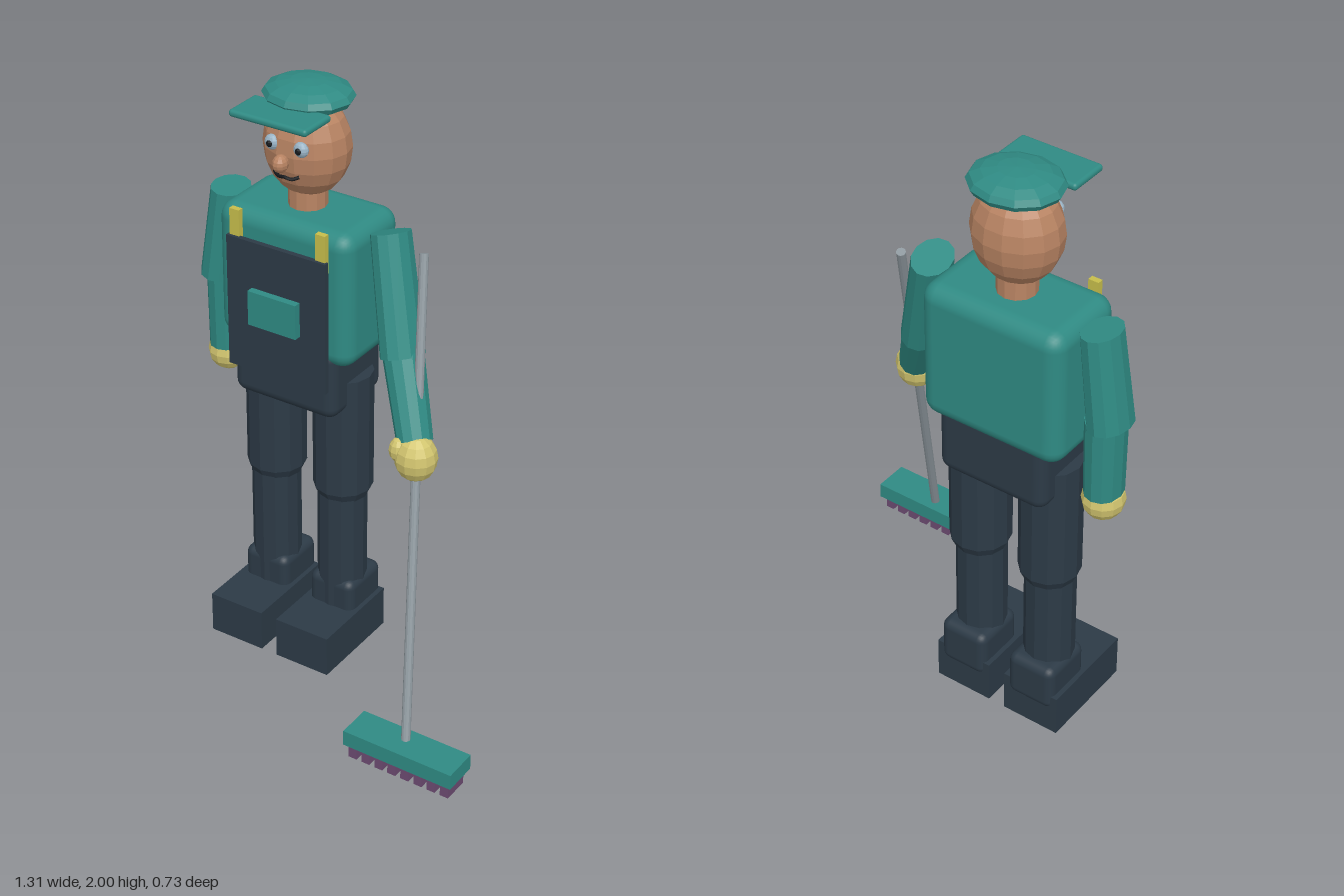
import * as THREE from 'three';
import { RoundedBoxGeometry } from 'three/addons/geometries/RoundedBoxGeometry.js';

const paint = (name, color) => {
  const m = new THREE.MeshStandardMaterial({ color });
  m.name = name;
  return m;
};

export function createModel() {
  const model = new THREE.Group();
  model.name = 'sweepingWorker';
  const teal = paint('teal', 0x2f8a83);
  const navy = paint('navy', 0x2c3a46);
  const skin = paint('skin', 0xb98463);
  const glove = paint('gloveYellow', 0xd2c56f);
  const strapYellow = paint('strapYellow', 0xc6bd4b);
  const steel = paint('steel', 0x8d979d);
  const bristle = paint('bristlePurple', 0x6b4a70);
  const eyeBlue = paint('eyeBlue', 0x9ab4c6);
  const black = paint('black', 0x15181c);

  const CX = -0.255, CZ = -0.213; // body axis

  const add = (name, geometry, material, x = 0, y = 0, z = 0) => {
    const mesh = new THREE.Mesh(geometry, material);
    mesh.name = name;
    mesh.position.set(x, y, z);
    model.add(mesh);
    return mesh;
  };
  // Faceted normals
  const flat = (geometry) => {
    const g = geometry.index ? geometry.toNonIndexed() : geometry;
    g.computeVertexNormals();
    return g;
  };
  // Boxes given by their limits on each axis
  const box = (name, material, [x0, x1], [y0, y1], [z0, z1], round = 0) => {
    const s = [x1 - x0, y1 - y0, z1 - z0];
    const g = round ? new RoundedBoxGeometry(...s, 3, round) : new THREE.BoxGeometry(...s);
    return add(name, g, material, (x0 + x1) / 2, (y0 + y1) / 2, (z0 + z1) / 2);
  };
  const ball = (name, material, [x, y, z], [rx, ry, rz], sides = 12, rings = 8) =>
    add(name, flat(new THREE.SphereGeometry(1, sides, rings).scale(rx, ry, rz)), material, x, y, z);
  // Oval tapered limb between two points
  const limb = (name, material, from, to, rTop, rBottom, depth = 1, sides = 12) => {
    const a = new THREE.Vector3(...from), b = new THREE.Vector3(...to);
    const dir = a.clone().sub(b);
    const g = new THREE.CylinderGeometry(rTop, rBottom, dir.length(), sides).scale(1, 1, depth);
    const mesh = add(name, flat(g), material);
    mesh.position.copy(a).add(b).multiplyScalar(0.5);
    mesh.quaternion.setFromUnitVectors(new THREE.Vector3(0, 1, 0), dir.normalize());
    return mesh;
  };

  // Torso and overalls
  box('torso', teal, [-0.505, -0.005], [1.115, 1.585], [-0.365, -0.06], 0.055);
  box('overallsHips', navy, [-0.45, -0.06], [0.92, 1.17], [-0.352, -0.058], 0.04);
  box('bib', navy, [-0.44, -0.07], [1.04, 1.5], [-0.048, -0.03]);
  box('bibPocket', teal, [-0.345, -0.165], [1.22, 1.34], [-0.03, -0.005]);
  for (const s of [-1, 1]) {
    const x = CX + s * 0.16;
    box('shoulderStrap', strapYellow, [x - 0.018, x + 0.018], [1.2, 1.59], [-0.06, -0.04]);
  }

  // Legs and boots
  for (const s of [-1, 1]) {
    const x = CX + s * 0.132;
    const thigh = [[0, 0.568], [0.085, 0.568], [0.1, 0.6], [0.1, 1.03], [0, 1.03]]
      .map(([r, y]) => new THREE.Vector2(r, y));
    add('thigh', flat(new THREE.LatheGeometry(thigh, 12)), navy, x, 0, CZ);
    limb('shin', navy, [x, 0.6, -0.208], [x, 0.12, -0.208], 0.083, 0.083);
    box('ankle', navy, [x - 0.086, x + 0.086], [0.09, 0.255], [-0.32, -0.13], 0.03);
    box('boot', navy, [x - 0.102, x + 0.102], [0, 0.147], [-0.31, 0.04]);
  }

  // Head and face
  limb('neck', skin, [CX, 1.68, CZ], [CX, 1.56, CZ], 0.063, 0.063);
  ball('head', skin, [CX, 1.79, CZ], [0.145, 0.168, 0.127], 14, 10);
  ball('nose', skin, [CX, 1.777, -0.066], [0.025, 0.029, 0.03], 10, 8);
  for (const s of [-1, 1]) {
    const x = CX + s * 0.053;
    ball('eye', eyeBlue, [x, 1.823, -0.1], [0.026, 0.025, 0.018]);
    ball('pupil', black, [x, 1.823, -0.083], [0.011, 0.011, 0.007], 8, 6);
  }
  const lips = new THREE.CatmullRomCurve3([
    [-0.046, 1.73, -0.1], [-0.024, 1.721, -0.089], [0, 1.725, -0.085],
    [0.024, 1.721, -0.089], [0.046, 1.73, -0.1],
  ].map(([x, y, z]) => new THREE.Vector3(CX + x, y, z)));
  add('mouth', new THREE.TubeGeometry(lips, 12, 0.006, 6), black);

  // Cap
  ball('capCrown', teal, [CX, 1.952, CZ - 0.008], [0.15, 0.048, 0.134], 12, 8);
  box('capPeak', teal, [CX - 0.141, CX + 0.141], [1.923, 1.947], [-0.136, 0.005], 0.011);

  // Right arm hanging down
  limb('rightUpperArm', teal, [-0.55, 1.565, CZ], [-0.59, 1.25, CZ], 0.06, 0.067, 1.27);
  limb('rightForearm', teal, [-0.575, 1.26, CZ], [-0.575, 0.99, CZ], 0.063, 0.06, 1.15);
  ball('rightGlove', glove, [-0.575, 0.963, CZ], [0.068, 0.07, 0.07]);

  // Left arm reaching to the broom
  limb('leftUpperArm', teal, [0.05, 1.57, CZ], [0.155, 1.21, -0.125], 0.06, 0.067, 1.27);
  limb('leftForearm', teal, [0.145, 1.24, -0.135], [0.268, 0.99, -0.02], 0.065, 0.056, 1.1);
  ball('leftGlove', glove, [0.285, 0.95, 0], [0.07, 0.08, 0.068]);
  ball('leftThumb', glove, [0.237, 0.975, 0.028], [0.03, 0.042, 0.028], 10, 6);

  // Broom
  limb('broomHandle', steel, [0.175, 1.535, -0.205], [0.445, 0.09, 0.29], 0.015, 0.015);
  box('broomHead', teal, [0.257, 0.653], [0.05, 0.105], [0.24, 0.362]);
  for (let i = 0; i < 8; i++) {
    const x = 0.285 + i * 0.0485;
    box('broomBristles', bristle, [x - 0.015, x + 0.015], [0, 0.05], [0.258, 0.35]);
  }

  return model;
}
